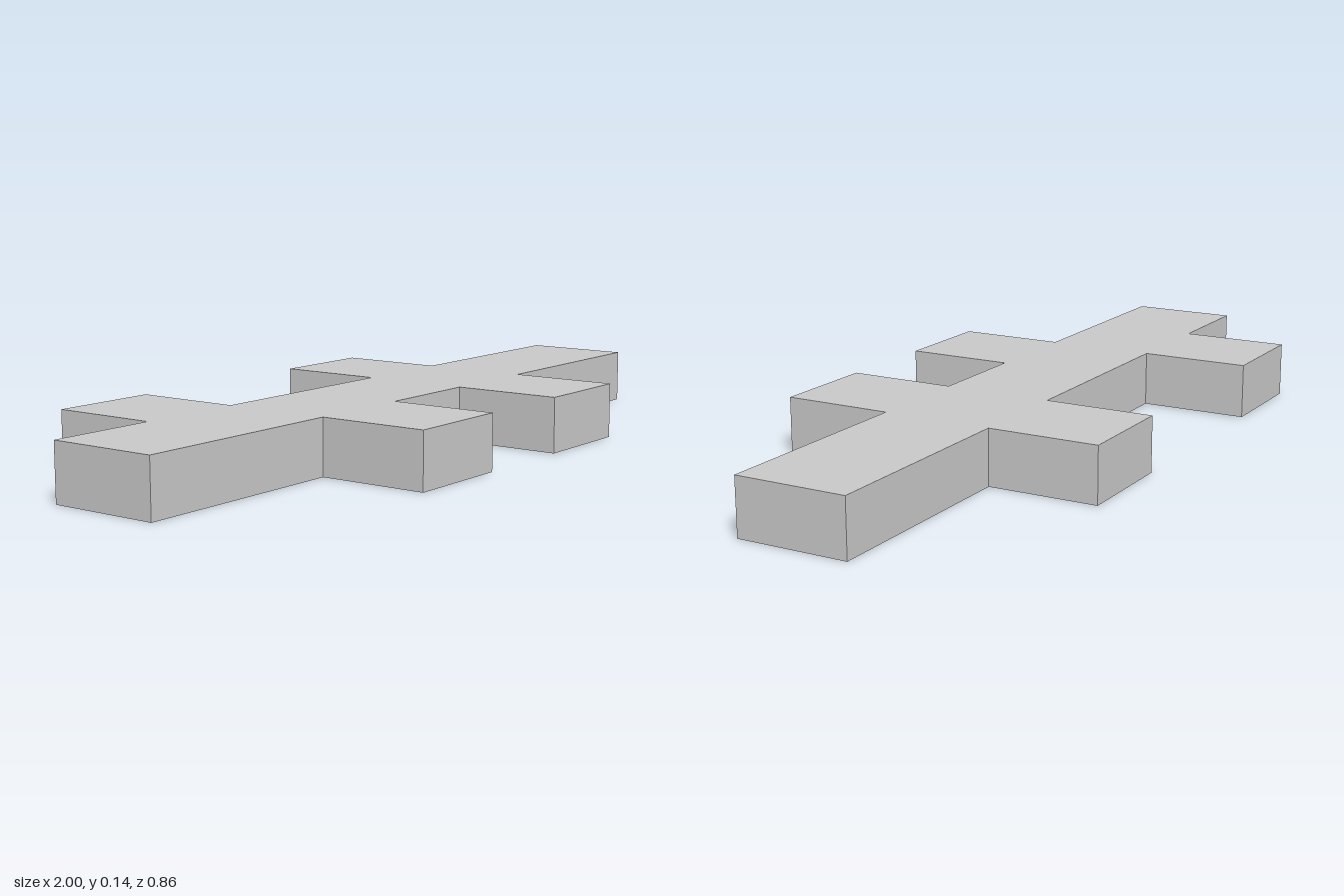
import * as THREE from 'three';

const U = 1 / 7; // grid unit: the bar is 14 long, 2 wide, 1 thick

export function createModel() {
  const group = new THREE.Group();
  group.name = 'notchedBar';

  const grey = new THREE.MeshStandardMaterial({ color: 0xc8c8c8 });
  grey.name = 'light grey';

  // Plan outline in grid units, counter-clockwise; positive y is the back
  const outline = [
    [-7, -1], [-3, -1], [-3, -3], [-1, -3], [-1, -1], // front right tab
    [1, -1], [1, -3], [3, -3], [3, -1], [7, -1],      // front left tab
    [7, 1], [3, 1], [3, 3], [1, 3], [1, 1],           // back left tab
    [-3, 1], [-3, 3], [-5, 3], [-5, 1], [-7, 1],      // back right tab
  ];
  const shape = new THREE.Shape(outline.map(([x, y]) => new THREE.Vector2(x * U, y * U)));

  // Extrude upward from the ground
  const geometry = new THREE.ExtrudeGeometry(shape, { depth: U, bevelEnabled: false });
  geometry.rotateX(-Math.PI / 2);

  const bar = new THREE.Mesh(geometry, grey);
  bar.name = 'barWithTabs';
  group.add(bar);
  return group;
}
